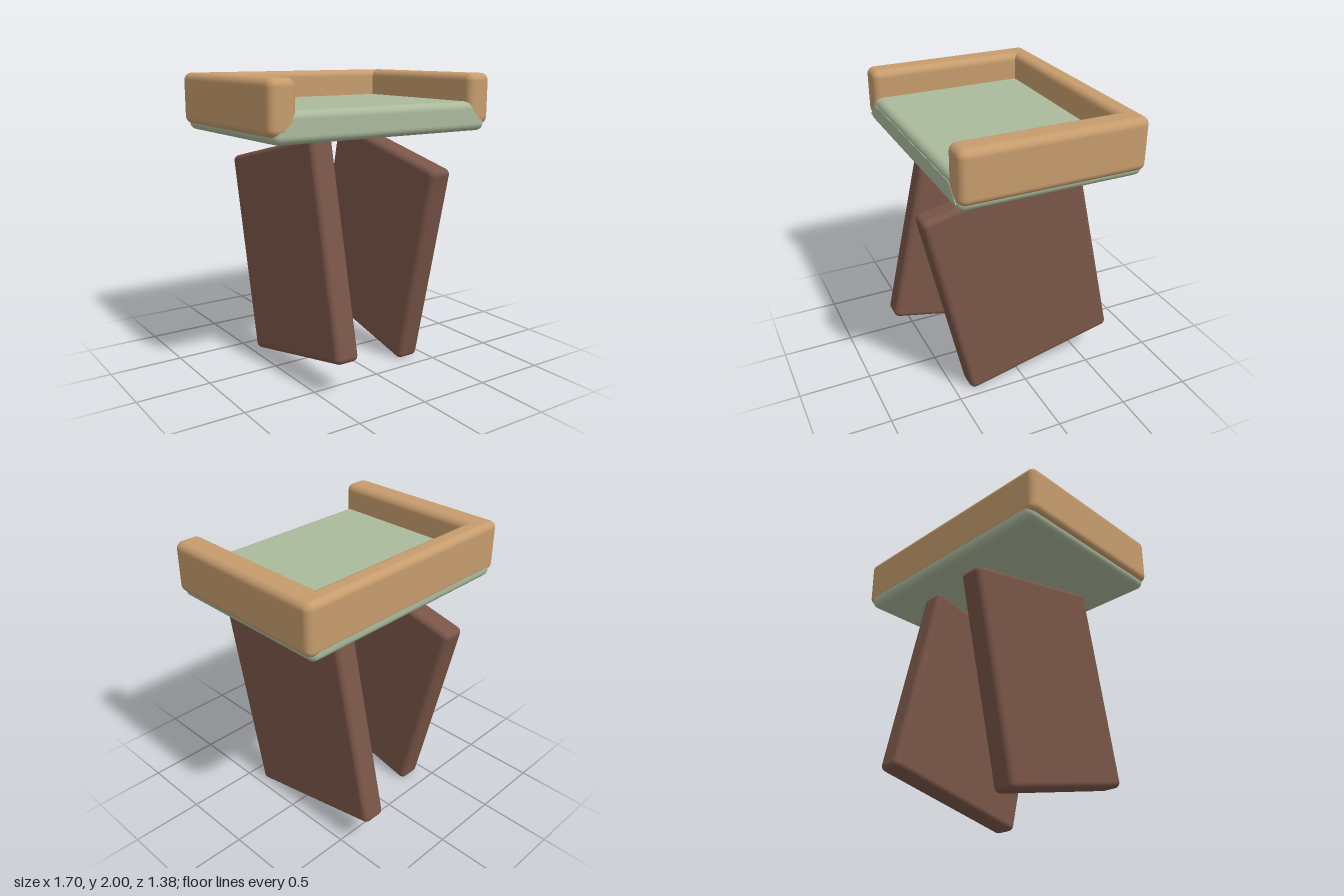
import * as THREE from 'three';
import { RoundedBoxGeometry } from 'three/addons/geometries/RoundedBoxGeometry.js';

function material(name, color) {
  const m = new THREE.MeshStandardMaterial({ color });
  m.name = name;
  return m;
}

export function createModel() {
  const model = new THREE.Group();
  model.name = 'armchair';
  const wood = material('light wood', 0xc69c6d);
  const darkWood = material('dark wood', 0x795548);
  const fabric = material('sage fabric', 0xabb99c);

  const add = (name, geometry, mat, x, y, z) => {
    const mesh = new THREE.Mesh(geometry, mat);
    mesh.name = name;
    mesh.position.set(x, y, z);
    model.add(mesh);
    return mesh;
  };
  const box = (w, h, d, r) => new RoundedBoxGeometry(w, h, d, 5, r);

  // Seat cushion under the frame
  add('seat', box(1.64, 0.198, 1.216, 0.05), fabric, 0, 1.716, 0);

  // Thin fabric apron tapering up across the arm fronts
  const apron = new THREE.Shape([
    new THREE.Vector2(-0.79, 1.667), new THREE.Vector2(0.79, 1.667),
    new THREE.Vector2(0.69, 1.765), new THREE.Vector2(-0.69, 1.765),
  ]);
  add('seatApron', new THREE.ExtrudeGeometry(apron, { depth: 0.006, bevelEnabled: false }),
    fabric, 0, 0, 0.606);

  // Back rail
  add('backRail', box(1.69, 0.34, 0.14, 0.045), wood, 0, 1.83, -0.54);

  // Arms and the two panel legs, tilted in opposite directions
  for (const side of [1, -1]) {
    const label = side > 0 ? 'left' : 'right';
    add(label + 'Arm', box(0.185, 0.34, 1.22, 0.05), wood, side * 0.7565, 1.83, 0);
    const leg = add(label + 'Leg', box(0.17, 1.43, 1.11, 0.04), darkWood, side * 0.363, 0.812, 0);
    leg.rotation.x = side * 0.22;
  }
  return model;
}
